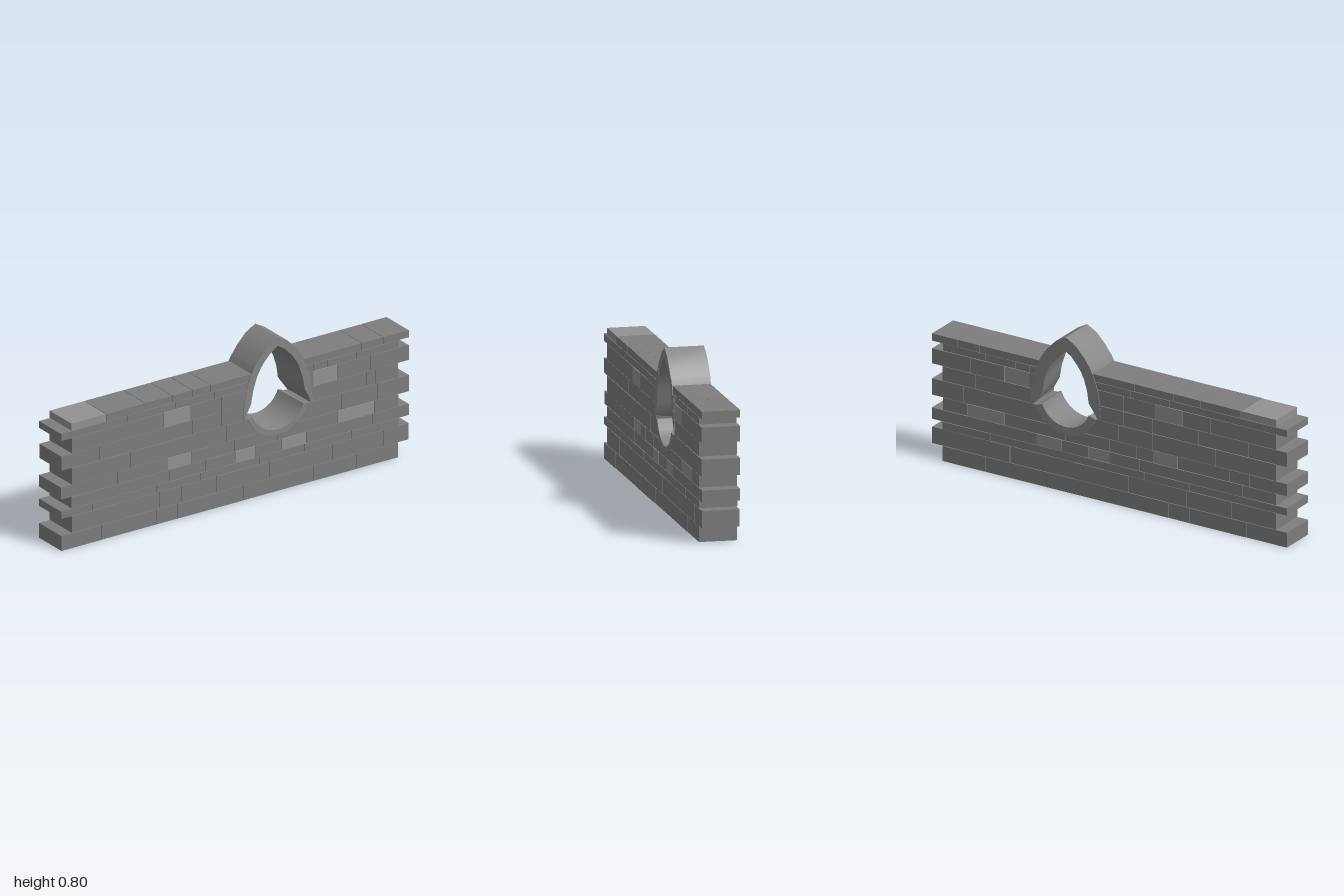
import * as THREE from 'three';
import { toCreasedNormals } from 'three/addons/utils/BufferGeometryUtils.js';

const CX = 0.245;          // centre line of the window
const HALF = 0.094;        // half the wall thickness
const GAP = 0.0012;        // half a mortar joint
const BOWL_Y = 0.477;      // centre height of the round sill

// Height of each course, the joints in it, and where its paler stones start
const courseY = [0, 0.079, 0.165, 0.205, 0.265, 0.329, 0.415, 0.491, 0.57, 0.608, 0.647];
const joints = [
  [-0.77, -0.45, -0.33, 0.05, 0.45, 0.7],
  [-0.69, -0.435, -0.307, -0.105, 0.2, 0.56, 0.853],
  [-0.82, -0.45, -0.2, 0.14, 0.4, 0.67],
  [-0.75, -0.375, -0.17, 0, 0.12, 0.27, 0.41, 0.79],
  [-0.79, -0.675, -0.385, -0.25, -0.15, 0, CX, 0.59, 0.8],
  [-0.6, -0.245, -0.05, CX, 0.61, 0.82],
  [-0.78, -0.5, -0.245, -0.08, CX, 0.607, 0.755, 0.81],
  [-0.57, -0.41, -0.26, -0.08, CX, 0.45, 0.59, 0.78],
  [-0.62, -0.34, -0.12, CX, 0.45, 0.53, 0.7],
  [-0.74, -0.515, -0.36, -0.245, -0.14, CX, 0.73, 0.853],
];
const paleStones = { 3: [0, 0.27], 4: [-0.385, 0.59], 7: [-0.41, 0.45], 9: [-0.94] };

// Arch profiles from foot to tip: [half width, height]
const archOuter = [[0.2, 0.415], [0.194, 0.49], [0.18, 0.57], [0.152, 0.645], [0.134, 0.676], [0.104, 0.718], [0.055, 0.769], [0, 0.8]];
const archFront = [[0.196, 0.415], [0.155, 0.49], [0.142, 0.56], [0.12, 0.625], [0.105, 0.652], [0.077, 0.69], [0.037, 0.731], [0, 0.754]];
const archBack = [[0.184, 0.415], [0.13, 0.49], [0.122, 0.55], [0.103, 0.61], [0.089, 0.637], [0.065, 0.67], [0.032, 0.708], [0, 0.727]];

let seed = 7;
const rand = () => (seed = (seed * 16807) % 2147483647) / 2147483647;

// Half width of the hole in the wall at height y
function holeHalfWidth(y, upper) {
  if (!upper) return Math.sqrt(Math.max(0, 0.17 ** 2 - (y - BOWL_Y) ** 2));
  const i = archOuter.findIndex(p => y <= p[1]);
  const [w0, y0] = archOuter[i - 1], [w1, y1] = archOuter[i];
  return w0 + (w1 - w0) * (y - y0) / (y1 - y0) - 0.014;
}

// One stone, cut along the window where it meets it
function stone(x0, x1, y0, y1, row) {
  const half = HALF - rand() * 0.002;
  const a = x0 + GAP, b = x1 - GAP;
  const cutRight = row >= 4 && x1 === CX, cutLeft = row >= 4 && x0 === CX;
  const steps = cutRight || cutLeft ? 8 : 1;
  const left = [], right = [];
  for (let i = 0; i <= steps; i++) {
    const y = y0 + GAP + (y1 - y0 - 2 * GAP) * i / steps;
    const w = cutRight || cutLeft ? Math.max(GAP, holeHalfWidth(y, row >= 6)) : 0;
    left.push(new THREE.Vector2(cutLeft ? CX + w : a, y));
    right.push(new THREE.Vector2(cutRight ? CX - w : b, y));
  }
  const shape = new THREE.Shape([...right, ...left.reverse()]);
  const geo = new THREE.ExtrudeGeometry(shape, { depth: 2 * half, bevelEnabled: false });
  return geo.translate(0, 0, -half + (rand() - 0.5) * 0.002);
}

// Solid swept through sections [outer, innerFront, innerBack], clockwise round the window
function sweep(sections, half) {
  const rings = sections.map(([o, f, b]) => [
    [o[0], o[1], half], [f[0], f[1], half], [b[0], b[1], -half], [o[0], o[1], -half]]);
  const pos = [];
  const quad = (p, q, r, s) => pos.push(...p, ...q, ...r, ...p, ...r, ...s);
  for (let i = 0; i + 1 < rings.length; i++) {
    for (let k = 0; k < 4; k++) {
      const n = (k + 1) % 4;
      quad(rings[i][k], rings[i][n], rings[i + 1][n], rings[i + 1][k]);
    }
  }
  const s = rings[0], e = rings[rings.length - 1];
  quad(s[0], s[3], s[2], s[1]);
  quad(e[0], e[1], e[2], e[3]);
  const geo = new THREE.BufferGeometry();
  geo.setAttribute('position', new THREE.Float32BufferAttribute(pos, 3));
  geo.computeVertexNormals();
  return toCreasedNormals(geo, 0.5);
}

export function createModel() {
  const model = new THREE.Group();
  model.name = 'stoneWallWithWindow';
  const darkStone = new THREE.MeshStandardMaterial({ color: 0x7d7d7d });
  const trimStone = new THREE.MeshStandardMaterial({ color: 0x858585 });
  const paleStone = new THREE.MeshStandardMaterial({ color: 0x929292 });
  const add = (parent, geo, material, name) => {
    const mesh = new THREE.Mesh(geo, material);
    mesh.name = name;
    parent.add(mesh);
  };

  // Courses of stones, shifted alternately so the ends interlock
  joints.forEach((inner, row) => {
    const course = new THREE.Group();
    course.name = `course${row + 1}`;
    const ends = row % 2 ? [-0.94, 1] : [-1, 0.94];
    const xs = [ends[0], ...inner, ends[1]];
    for (let i = 0; i + 1 < xs.length; i++) {
      const pale = paleStones[row]?.includes(xs[i]);
      add(course, stone(xs[i], xs[i + 1], courseY[row], courseY[row + 1], row), pale ? paleStone : darkStone, 'stone');
    }
    model.add(course);
  });

  // Pointed arch: a long side stone and a tip stone on each side
  const arch = new THREE.Group();
  arch.name = 'pointedArch';
  const section = (i, side) => [archOuter, archFront, archBack].map(p => [CX + side * p[i][0], p[i][1]]);
  const leftToRight = [
    ...archOuter.map((_, i) => section(i, -1)),
    ...archOuter.map((_, i) => section(i, 1)).reverse().slice(1)];
  [[0, 4, 0.0965], [4, 7, 0.095], [7, 10, 0.0965], [10, 14, 0.0952]].forEach(([from, to, half]) =>
    add(arch, sweep(leftToRight.slice(from, to + 1), half), trimStone, 'archStone'));
  model.add(arch);

  // Round sill of two stones below the arch
  const sill = new THREE.Group();
  sill.name = 'roundSill';
  const arc = (from, to) => Array.from({ length: 9 }, (_, i) => {
    const t = THREE.MathUtils.degToRad(from + (to - from) * i / 8);
    return [0.182, 0.156, 0.14].map(r => [CX + r * Math.cos(t), BOWL_Y + r * Math.sin(t)]);
  });
  add(sill, sweep(arc(339, 285), 0.0965), trimStone, 'sillStone');
  add(sill, sweep(arc(285, 201), 0.0955), trimStone, 'sillStone');
  model.add(sill);

  return model;
}
